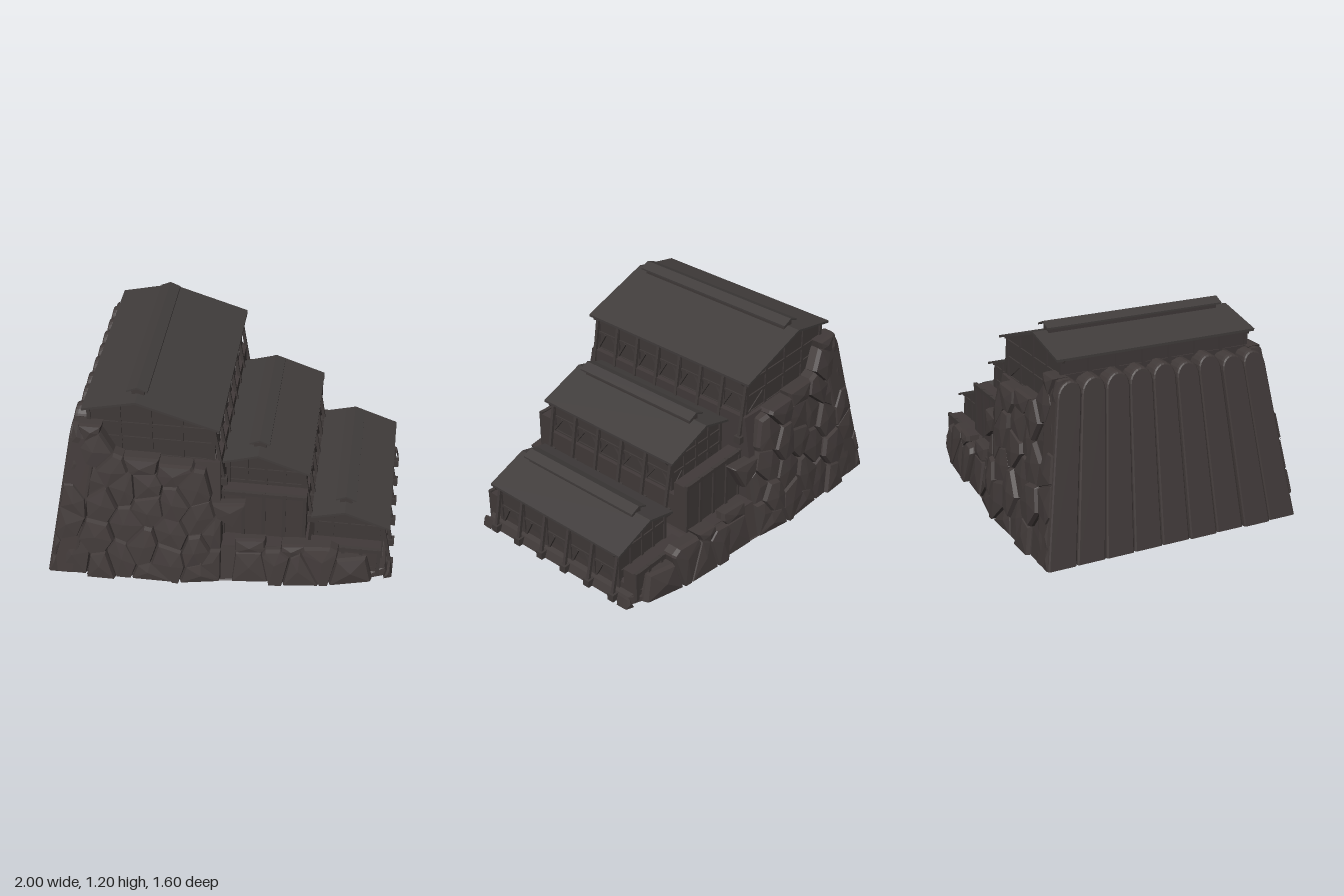
import * as THREE from 'three';
import { mergeGeometries } from 'three/addons/utils/BufferGeometryUtils.js';

const rockMat = new THREE.MeshStandardMaterial({ color: 0x413a39, flatShading: true });
rockMat.name = 'dark rock';
const woodMat = new THREE.MeshStandardMaterial({ color: 0x3f3938, flatShading: true });
woodMat.name = 'dark timber';
const roofMat = new THREE.MeshStandardMaterial({ color: 0x413d3c, flatShading: true });
roofMat.name = 'slate roof';

let seed = 7;
const rnd = () => ((seed = (seed * 16807) % 2147483647) / 2147483647);
const rr = (a, b) => a + (b - a) * rnd();

function part(parent, name, geos, mat) {
  const list = [].concat(geos).map((g) => (g.index ? g.toNonIndexed() : g));
  const mesh = new THREE.Mesh(mergeGeometries(list), mat);
  mesh.geometry.computeVertexNormals();
  mesh.name = name;
  parent.add(mesh);
}

// box given by its limits
const box = (x0, x1, y0, y1, z0, z1) =>
  new THREE.BoxGeometry(x1 - x0, y1 - y0, z1 - z0).translate((x0 + x1) / 2, (y0 + y1) / 2, (z0 + z1) / 2);

// square timber between two points
function beam(a, b, w = 0.016) {
  const p = new THREE.Vector3(...a), q = new THREE.Vector3(...b), d = q.clone().sub(p);
  const g = new THREE.BoxGeometry(w, d.length(), w);
  g.applyQuaternion(new THREE.Quaternion().setFromUnitVectors(new THREE.Vector3(0, 1, 0), d.normalize()));
  return g.translate((p.x + q.x) / 2, (p.y + q.y) / 2, (p.z + q.z) / 2);
}

// xy outline extruded from z0 to z1
function prism(pts, z0, z1) {
  const shape = new THREE.Shape(pts.map((p) => new THREE.Vector2(...p)));
  return new THREE.ExtrudeGeometry(shape, { depth: z1 - z0, bevelEnabled: false }).translate(0, 0, z0);
}

function lerpTable(t, x) {
  for (let i = 1; i < t.length; i++) {
    if (x <= t[i][0]) {
      const k = Math.max(0, (x - t[i - 1][0]) / (t[i][0] - t[i - 1][0]));
      return t[i - 1][1] + k * (t[i][1] - t[i - 1][1]);
    }
  }
  return t[t.length - 1][1];
}
// half width of the hill at ground level, and height of its stone facing
const widthAt = [[-1, 0.79], [-0.15, 0.79], [0, 0.75], [0.4, 0.71], [0.75, 0.67], [0.85, 0.63], [1, 0.57]];
const topAt = [[-1, 0.97], [-0.7, 0.97], [-0.64, 0.86], [-0.55, 0.79], [-0.01, 0.77], [0.01, 0.53], [0.09, 0.5],
  [0.12, 0.28], [0.53, 0.25], [0.58, 0.19], [0.8, 0.15], [0.9, 0.1], [1, 0.06]];
const sideZ = (x, y) => lerpTable(widthAt, x) - 0.17 * y;

// keep the side of polygon where nx*x + ny*y <= c
function clip(poly, nx, ny, c) {
  const out = [];
  poly.forEach((p, i) => {
    const q = poly[(i + 1) % poly.length];
    const dp = nx * p[0] + ny * p[1] - c, dq = nx * q[0] + ny * q[1] - c;
    if (dp <= 0) out.push(p);
    if (dp * dq < 0) {
      const t = dp / (dp - dq);
      out.push([p[0] + t * (q[0] - p[0]), p[1] + t * (q[1] - p[1])]);
    }
  });
  return out;
}

// one bevelled stone from a polygon lying on the cliff side
function stone(poly, bulge, s) {
  const n = poly.length, pos = [];
  const cx = poly.reduce((a, p) => a + p[0], 0) / n, cy = poly.reduce((a, p) => a + p[1], 0) / n;
  const ring = (k, dz) => poly.map(([x, y]) => {
    const px = cx + (x - cx) * k, py = y < 0.001 ? 0 : cy + (y - cy) * k;
    return [px, py, s * (sideZ(px, py) + dz)];
  });
  const tri = (a, b, c) => pos.push(...a, ...(s > 0 ? b : c), ...(s > 0 ? c : b));
  const rings = [ring(1, -0.07), ring(0.985, bulge - 0.028), ring(0.9, bulge - 0.004)];
  const mid = [cx, cy, s * (sideZ(cx, cy) + bulge + 0.006)];
  for (let i = 0; i < n; i++) {
    const j = (i + 1) % n;
    for (let r = 0; r < 2; r++) {
      const [a, b] = [rings[r], rings[r + 1]];
      tri(a[i], a[j], b[j]);
      tri(a[i], b[j], b[i]);
    }
    tri(mid, rings[2][i], rings[2][j]);
  }
  const g = new THREE.BufferGeometry();
  g.setAttribute('position', new THREE.Float32BufferAttribute(pos, 3));
  return g;
}

// cracked stone facing on both flanks, from cells around jittered sites
function cliffStones(parent) {
  const sites = [];
  for (let i = 0; i < 15; i++) {
    for (let j = 0; j < 6; j++) {
      sites.push([-1.0 + i * 0.145 + rr(-0.05, 0.05), 0.05 + (j + (i % 2) * 0.5) * 0.195 + rr(-0.06, 0.06)]);
    }
  }
  const stones = { 1: [], '-1': [] };
  for (const a of sites) {
    const top = lerpTable(topAt, a[0]);
    if (a[1] > top + 0.04) continue;
    let poly = [[-1, 0], [1, 0], [1, 1], [-1, 1]];
    for (const b of sites) {
      if (b === a) continue;
      const nx = b[0] - a[0], ny = (b[1] - a[1]) * 0.6;
      poly = clip(poly, nx, ny, (nx * (a[0] + b[0]) + ny * (a[1] + b[1])) / 2);
    }
    poly = clip(poly, -1, 0.18, 0.985);
    poly = clip(poly, 1, 0.25, 0.995);
    poly = clip(poly, 0, 1, top + rr(-0.01, 0.02));
    if (a[0] < 0 && top > 0.6) poly = clip(poly, 1, 0, 0.015);
    if (poly.length < 3) continue;
    const bulge = rr(-0.012, 0.022);
    for (const s of [1, -1]) stones[s].push(stone(poly, bulge, s));
  }
  part(parent, 'leftCliffStones', stones[1], rockMat);
  part(parent, 'rightCliffStones', stones[-1], rockMat);
}

// leaning round-topped rock columns across the back
function backColumns(parent) {
  const cols = [], n = 9, w = 1.56 / n;
  for (let i = 0; i < n; i++) {
    const h = rr(0.88, 0.91), r = w / 2 - 0.012;
    const sh = new THREE.Shape();
    sh.moveTo(-r, 0);
    sh.lineTo(r, 0);
    sh.lineTo(r, h);
    sh.absellipse(0, h, r, 0.07, 0, Math.PI, false);
    sh.lineTo(-r, 0);
    const g = new THREE.ExtrudeGeometry(sh, { depth: 0.12, bevelSize: 0.011, bevelThickness: 0.02, bevelSegments: 2, curveSegments: 5 });
    g.rotateY(-Math.PI / 2);
    const p = g.attributes.position, zc = (i - (n - 1) / 2) * w, dx = rr(0, 0.012);
    for (let k = 0; k < p.count; k++) {
      const y = Math.max(0, p.getY(k));
      p.setXYZ(k, p.getX(k) - 0.86 + dx + 0.175 * y, y, (p.getZ(k) + zc) * (1 - 0.2 * y));
    }
    cols.push(g);
  }
  part(parent, 'backRockColumns', cols, rockMat);
}

// solid hill behind the facing
function hillCore(parent) {
  const g = prism([[-0.97, 0], [-0.1, 0], [0.4, 0], [0.8, 0], [0.97, 0], [0.95, 0.05], [0.85, 0.08], [0.54, 0.15],
    [0.5, 0.23], [0.4, 0.23], [0.01, 0.23], [0, 0.765], [-0.68, 0.765], [-0.72, 0.92], [-0.81, 0.92]], -1, 1);
  const p = g.attributes.position;
  for (let i = 0; i < p.count; i++) {
    p.setZ(i, Math.sign(p.getZ(i)) * (sideZ(p.getX(i), p.getY(i)) - 0.03));
  }
  part(parent, 'hillCore', g, rockMat);
}

// one long shed: eave/ridge heights, z limits, floor height, base of its props and number of posts
function shed(parent, name, { x0, xr, x1, yl, yr, yt, z0, z1, floor, base, posts, cz0, cz1 }) {
  const grp = new THREE.Group();
  grp.name = name;
  parent.add(grp);
  const wx0 = x0 + 0.03, wx1 = x1 - 0.04, w0 = z0 + 0.04, w1 = z1 - 0.04;
  const roofY = (x) => (x < xr ? yl + ((x - x0) / (xr - x0)) * (yt - yl) : yr + ((x1 - x) / (x1 - xr)) * (yt - yr)) - 0.014;
  part(grp, 'walls', prism([[wx0, floor], [wx1, floor], [wx1, roofY(wx1)], [xr, roofY(xr)], [wx0, roofY(wx0)]], w0, w1), woodMat);
  part(grp, 'roof', prism([[x0, yl - 0.014], [xr, yt - 0.014], [x1, yr - 0.014], [x1, yr], [xr, yt], [x0, yl]], z0, z1), roofMat);

  // gable frames
  const frame = [], rails = [floor + 0.01, floor + (yr - floor) * 0.5, yr - 0.025];
  for (const z of [w0, w1]) {
    const cols = 4;
    for (let i = 0; i <= cols; i++) {
      const x = wx0 + ((wx1 - wx0) * i) / cols;
      frame.push(beam([x, floor, z], [x, roofY(x), z]));
    }
    for (const y of rails) frame.push(beam([wx0, y, z], [wx1, y, z]));
    for (const e of [x0, x1]) frame.push(beam([e, roofY(e) - 0.004, z], [xr, roofY(xr) - 0.004, z], 0.014));
    frame.push(beam([wx0, floor, z], [wx0 + (wx1 - wx0) / 4, rails[1], z], 0.012));
    frame.push(beam([wx1, floor, z], [wx1 - (wx1 - wx0) / 4, rails[1], z], 0.012));
  }
  // long walls with posts, rails, braces and raking props
  const props = [];
  for (const x of [wx0, wx1]) {
    for (const y of rails) frame.push(beam([x, y, w0], [x, y, w1]));
    for (let i = 0; i < posts; i++) {
      const z = w0 + ((w1 - w0) * i) / (posts - 1), dz = (w1 - w0) / (posts - 1);
      frame.push(beam([x, floor, z], [x, roofY(x), z], 0.02));
      if (x !== wx1) continue;
      for (const s of [-1, 1]) {
        const zb = z + s * dz * 0.36;
        if (zb > w0 && zb < w1) frame.push(beam([x + 0.006, floor + 0.02, z], [x + 0.006, rails[1], zb], 0.014));
      }
      props.push(beam([wx1 + 0.005, yr - 0.03, z], [x1 + 0.018, base + 0.02, z], 0.018));
      props.push(box(x1 - 0.01, x1 + 0.036, base, base + 0.045, z - 0.022, z + 0.022));
    }
  }
  part(grp, 'timberFrame', frame, woodMat);
  part(grp, 'rakingProps', props, woodMat);

  // ridge vent with its own little roof and rafter ends
  const vent = [box(xr - 0.035, xr + 0.035, yt - 0.03, yt + 0.035, cz0 + 0.02, cz1 - 0.02)];
  for (let z = cz0 + 0.04; z < cz1 - 0.02; z += 0.07) vent.push(box(xr - 0.048, xr + 0.048, yt + 0.008, yt + 0.022, z, z + 0.012));
  part(grp, 'ridgeVent', vent, woodMat);
  part(grp, 'ridgeVentRoof', prism([[xr - 0.058, yt + 0.018], [xr, yt + 0.043], [xr + 0.058, yt + 0.018],
    [xr + 0.058, yt + 0.028], [xr, yt + 0.053], [xr - 0.058, yt + 0.028]], cz0, cz1), roofMat);
}

// retaining terraces with post-and-rail side ledges
function terrace(parent, name, x0, x1, y, ledgeY, zIn, zOut) {
  const walls = [box(x0, x1, 0, y, -zOut + 0.02, zOut - 0.02)], rails = [];
  for (const s of [-1, 1]) {
    const a = s * zIn, b = s * zOut;
    walls.push(box(x0, x1, 0, ledgeY, Math.min(a, b), Math.max(a, b)));
    rails.push(beam([x0, ledgeY - 0.004, b], [x1, ledgeY - 0.004, b], 0.022));
    for (let i = 0; i <= 4; i++) {
      const x = x0 + 0.01 + ((x1 - x0 - 0.02) * i) / 4;
      rails.push(beam([x, 0.02, b], [x, ledgeY + 0.01, b], 0.02));
    }
  }
  part(parent, name + 'Wall', walls, rockMat);
  part(parent, name + 'Rails', rails, woodMat);
}

export function createModel() {
  const model = new THREE.Group();
  model.name = 'terracedHillSheds';
  hillCore(model);
  cliffStones(model);
  backColumns(model);
  terrace(model, 'middleTerrace', 0.0, 0.485, 0.45, 0.54, 0.48, 0.565);
  terrace(model, 'lowerTerrace', 0.49, 0.92, 0.1, 0.2, 0.49, 0.575);
  shed(model, 'upperShed', { x0: -0.76, xr: -0.46, x1: 0, yl: 1.075, yr: 0.995, yt: 1.143, z0: -0.605, z1: 0.605,
    floor: 0.75, base: 0.6, posts: 8, cz0: -0.545, cz1: 0.54 });
  shed(model, 'middleShed', { x0: 0.0, xr: 0.2, x1: 0.495, yl: 0.71, yr: 0.665, yt: 0.77, z0: -0.475, z1: 0.512,
    floor: 0.44, base: 0.3, posts: 6, cz0: -0.4, cz1: 0.44 });
  shed(model, 'lowerShed', { x0: 0.51, xr: 0.7, x1: 0.96, yl: 0.36, yr: 0.315, yt: 0.41, z0: -0.495, z1: 0.512,
    floor: 0.0, base: 0, posts: 6, cz0: -0.41, cz1: 0.435 });
  return model;
}
